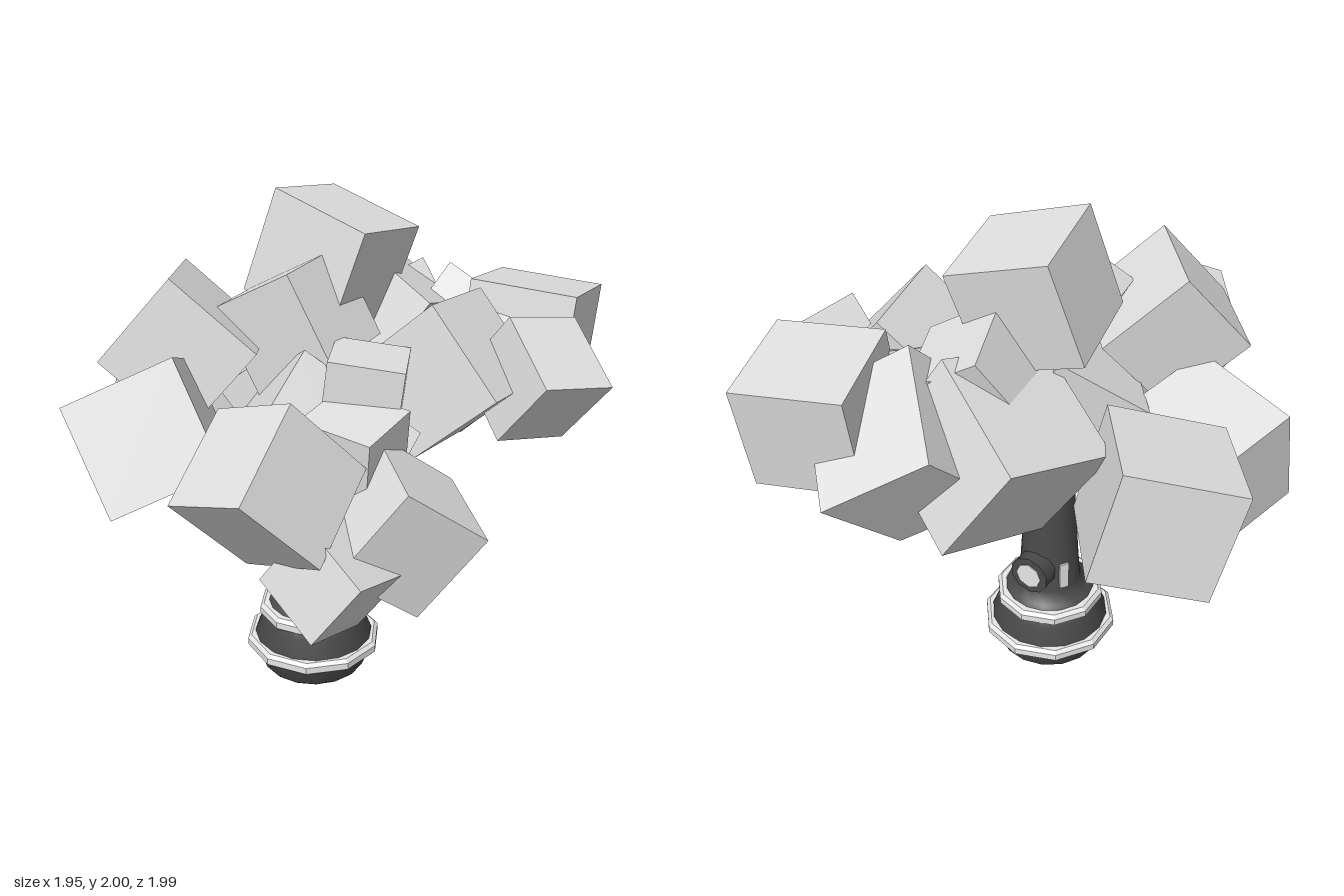
import * as THREE from 'three';

const leafMat = new THREE.MeshStandardMaterial({ color: 0xe0e0e0 });
leafMat.name = 'pale grey foliage';
const trunkMat = new THREE.MeshStandardMaterial({ color: 0x4a4a4a });
trunkMat.name = 'dark grey trunk';
const trimMat = new THREE.MeshStandardMaterial({ color: 0xf0f0f0 });
trimMat.name = 'near white trim';

// A tilted cube: corner x, y, z, then one edge from it, then the roll about that edge
function leafBlock([x, y, z, ex, ey, ez, roll]) {
  const a = new THREE.Vector3(ex, ey, ez);
  const size = a.length();
  a.normalize();
  const b = new THREE.Vector3(-ez, 0, ex).normalize().applyAxisAngle(a, roll);
  const c = a.clone().cross(b);
  const mesh = new THREE.Mesh(new THREE.BoxGeometry(size, size, size), leafMat);
  mesh.quaternion.setFromRotationMatrix(new THREE.Matrix4().makeBasis(a, b, c));
  mesh.position.set(x, y, z).addScaledVector(a.add(b).add(c), size / 2);
  return mesh;
}

const BLOCKS = [
  [-0.15, 2, 0.075, -0.065, -0.055, -0.395, 0.29],   // crown
  [-0.9, 0.868, 0.357, 0.425, 0.061, 0.16, 2.85],    // left front
  [-0.98, 1.29, -0.29, 0.355, 0.114, -0.243, 0.04],  // far left
  [-0.467, 1.714, 0.24, 0.255, 0.037, 0.31, 0.85],   // upper left front
  [-0.28, 1.386, 1, 0.256, 0.166, -0.287, 1.18],     // front
  [0.146, 0.63, 0.28, -0.045, 0.31, -0.41, -2.29],   // lower middle
  [0.157, 1.407, 0.68, 0.355, 0.122, 0.025, 0.71],   // right front
  [0.64, 0.697, 0.52, 0.031, 0.063, 0.27, -2.15],    // low right front
  [0.965, 1.03, 0.25, -0.134, 0.216, 0.262, -0.2],   // far right
  [0.65, 1.6, -0.28, 0.09, -0.053, -0.3, 0.64],      // right back
  [0.73, 1.615, -0.6, -0.395, 0.02, 0.114, 0.14],    // back corner
  [0.19, 0.893, -0.68, 0.07, 0.31, -0.313, -2.33],   // back
  [-0.34, 1.42, -0.75, -0.13, -0.13, 0.442, 2.09],   // left back
  [0.755, 1.364, -0.07, -0.29, -0.274, 0.08, -1.44], // right
  [0.115, 1.775, 0.3, -0.31, -0.17, 0.05, -0.07],    // below the crown
  [0.2, 1.53, 0.135, 0.22, -0.03, -0.15, 0],         // small right
  [0.32, 1.4, 0.25, 0.27, -0.03, -0.05, 0.11],       // small right front
  [-0.087, 1.66, -0.563, -0.148, -0.27, 0.116, 2.01], // small back
  [0.27, 1.52, -0.36, 0.11, 0.05, -0.22, 0.4],       // small right back
  [-0.45, 1.27, 0.02, 0.26, 0.235, -0.215, -0.06],   // core
];

export function createModel() {
  const group = new THREE.Group();

  const foliage = new THREE.Group();
  foliage.name = 'foliage';
  BLOCKS.forEach((row, i) => {
    const mesh = leafBlock(row);
    mesh.name = `leafBlock${i + 1}`;
    foliage.add(mesh);
  });
  group.add(foliage);

  // The trunk stands a little left of the middle
  const stand = new THREE.Group();
  stand.name = 'stand';
  stand.position.x = -0.037;
  group.add(stand);

  // Trunk with a bulging foot and a tapered stem
  const profile = [
    [0, 0], [0.205, 0], [0.215, 0.01], [0.245, 0.09], [0.25, 0.13], [0.215, 0.22],
    [0.205, 0.28], [0.165, 0.3], [0.128, 0.345], [0.112, 0.6], [0.098, 0.85], [0.085, 1.15],
  ].map(([r, y]) => new THREE.Vector2(r, y));
  const trunk = new THREE.Mesh(new THREE.LatheGeometry(profile, 16), trunkMat);
  trunk.name = 'trunk';
  stand.add(trunk);

  // Two faceted rings round the foot
  for (const [name, r, y] of [['lowerRing', 0.28, 0.115], ['upperRing', 0.225, 0.262]]) {
    const h = 0.028;
    const section = [
      [r - 0.06, -h], [r - 0.015, -h], [r, -h / 2], [r, h / 2],
      [r - 0.015, h], [r - 0.06, h], [r - 0.06, -h],
    ].map(([x, t]) => new THREE.Vector2(x, t));
    const geo = new THREE.LatheGeometry(section, 10).toNonIndexed();
    geo.computeVertexNormals();
    const ring = new THREE.Mesh(geo, trimMat);
    ring.position.y = y;
    ring.name = name;
    stand.add(ring);
  }

  // Knob on the back of the stem, with a pale end plate
  const knob = new THREE.Mesh(new THREE.CylinderGeometry(0.085, 0.085, 0.07, 10), trunkMat);
  knob.rotation.x = -Math.PI / 2;
  knob.position.set(0, 0.445, -0.13);
  knob.name = 'knob';
  const plate = new THREE.Mesh(new THREE.CylinderGeometry(0.055, 0.055, 0.006, 8), trimMat);
  plate.rotation.x = -Math.PI / 2;
  plate.position.set(0, 0.445, -0.166);
  plate.name = 'knobPlate';

  // Pale patch on the stem beside the knob
  const patch = new THREE.Mesh(new THREE.BoxGeometry(0.04, 0.12, 0.008), trimMat);
  patch.position.set(-0.107, 0.42, -0.065);
  patch.rotation.y = Math.atan2(-0.107, -0.065);
  patch.name = 'stemPatch';
  stand.add(knob, plate, patch);

  return group;
}
